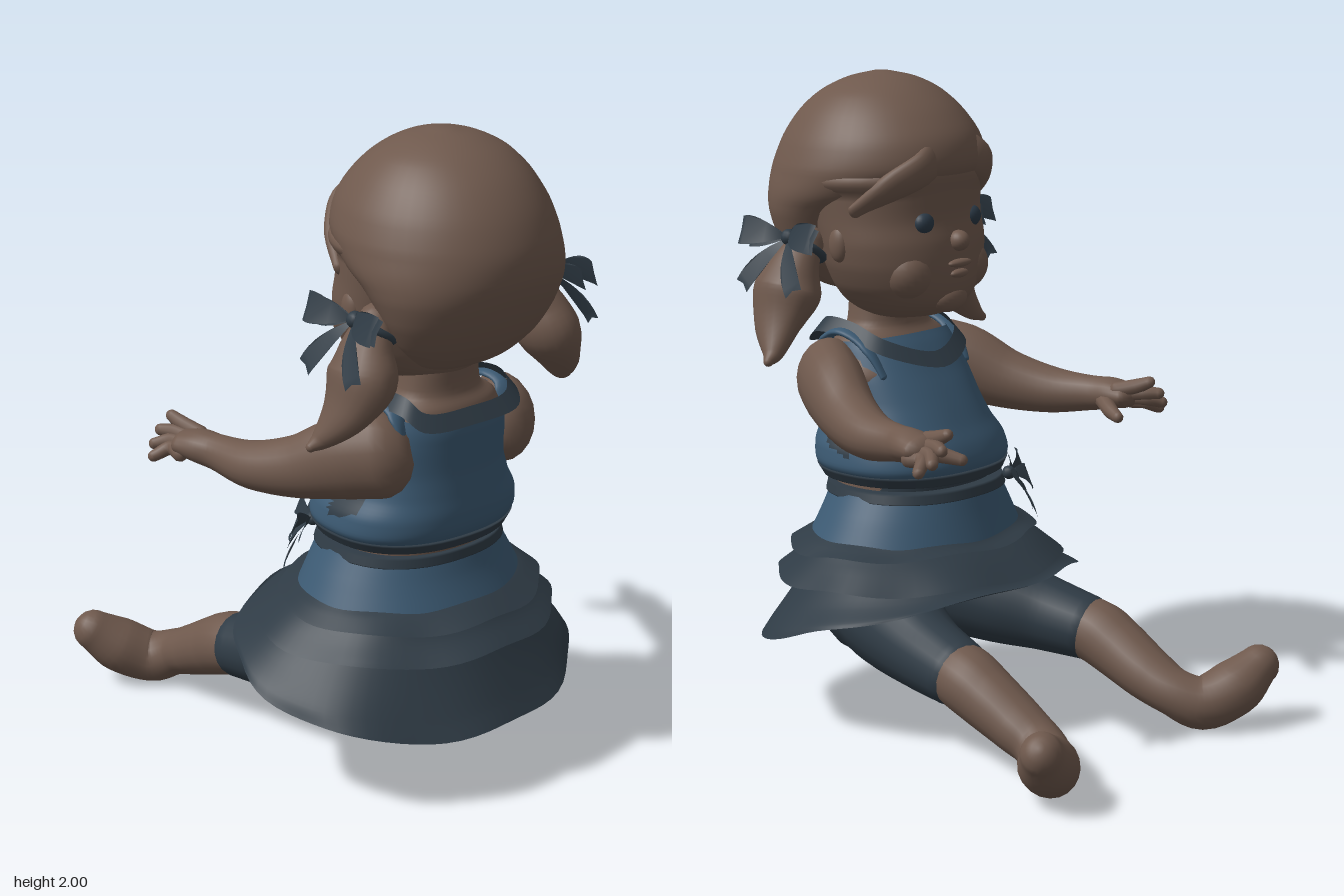
import * as THREE from 'three';

const mat = (name, color, side = THREE.FrontSide) => {
  const m = new THREE.MeshStandardMaterial({ color, side });
  m.name = name;
  return m;
};
const V = (x, y, z) => new THREE.Vector3(x, y, z);

// Skin over a list of rings, optionally closed with fans at both ends
function loft(rings, capped) {
  const n = rings[0].length, pos = [], idx = [];
  rings.forEach(r => r.forEach(p => pos.push(p.x, p.y, p.z)));
  for (let i = 0; i < rings.length - 1; i++) for (let j = 0; j < n; j++) {
    const a = i * n + j, b = i * n + (j + 1) % n;
    idx.push(a, a + n, b, b, a + n, b + n);
  }
  if (capped) [0, rings.length - 1].forEach((k, end) => {
    const c = V(0, 0, 0);
    rings[k].forEach(p => c.addScaledVector(p, 1 / n));
    const ci = pos.length / 3;
    pos.push(c.x, c.y, c.z);
    for (let j = 0; j < n; j++) {
      const a = k * n + j, b = k * n + (j + 1) % n;
      idx.push(ci, end ? b : a, end ? a : b);
    }
  });
  const g = new THREE.BufferGeometry();
  g.setAttribute('position', new THREE.Float32BufferAttribute(pos, 3));
  g.setIndex(idx);
  g.computeVertexNormals();
  return g;
}

// Horizontal sections: rows of [y, lowest and highest x, half width, tilt]
function stack(rows, { power = 1, capped = true, wave = 0, steps = 5, n = 48 } = {}) {
  const A = new THREE.CatmullRomCurve3(rows.map(r => V(r[0], r[1], r[2])));
  const B = new THREE.CatmullRomCurve3(rows.map(r => V(r[3], r[4] || 0, 0)));
  const sp = v => Math.sign(v) * Math.abs(v) ** power;
  const rings = [], count = (rows.length - 1) * steps;
  for (let i = 0; i <= count; i++) {
    const t = i / count, a = A.getPoint(t), b = B.getPoint(t), ring = [];
    for (let j = 0; j < n; j++) {
      const th = j / n * Math.PI * 2, c = Math.cos(th);
      const k = 1 + wave * (1 - t) * Math.sin(th * 9);
      ring.push(V((a.y + a.z) / 2 + (a.z - a.y) / 2 * sp(c) * k,
        a.x - b.y * c + wave * (1 - t) * 0.5 * Math.cos(th * 7), b.x * sp(Math.sin(th)) * k));
    }
    rings.push(ring);
  }
  return loft(rings, capped);
}

// Limb along a path: points of [x, y, z, radius along ref, radius across]
function limb(pts, ref = V(0, 1, 0), n = 20) {
  const P = new THREE.CatmullRomCurve3(pts.map(p => V(p[0], p[1], p[2])));
  const R = new THREE.CatmullRomCurve3(pts.map(p => V(p[3], p[4] ?? p[3], 0)));
  const rings = [], count = (pts.length - 1) * 5;
  const add = (t, off, k) => {
    const d = P.getTangent(t), r = R.getPoint(t);
    const u = ref.clone().addScaledVector(d, -ref.dot(d)).normalize(), v = u.clone().cross(d);
    const c = P.getPoint(t).addScaledVector(d, off * Math.min(r.x, r.y));
    rings.push(Array.from({ length: n }, (_, j) => {
      const th = j / n * Math.PI * 2;
      return c.clone().addScaledVector(u, Math.cos(th) * r.x * k).addScaledVector(v, Math.sin(th) * r.y * k);
    }));
  };
  const ends = [0.2, 0.5, 0.9, 1.25];
  ends.slice().reverse().forEach(a => add(0, -Math.sin(a), Math.cos(a)));
  for (let i = 0; i <= count; i++) add(i / count, 0, 1);
  ends.forEach(a => add(1, Math.sin(a), Math.cos(a)));
  return loft(rings, true);
}

// Give triangles whose centre passes the test the second material
function paint(geo, test) {
  const p = geo.attributes.position, idx = geo.index.array, parts = [[], []];
  for (let i = 0; i < idx.length; i += 3) {
    const tri = [idx[i], idx[i + 1], idx[i + 2]], c = V(0, 0, 0);
    tri.forEach(k => c.addScaledVector(V(p.getX(k), p.getY(k), p.getZ(k)), 1 / 3));
    parts[test(c) ? 1 : 0].push(...tri);
  }
  geo.setIndex([...parts[0], ...parts[1]]);
  geo.addGroup(0, parts[0].length, 0);
  geo.addGroup(parts[0].length, parts[1].length, 1);
  return geo;
}

export function createModel() {
  const skin = mat('brown skin and hair', 0x6f594d);
  const blue = mat('blue cloth', 0x3c5a73, THREE.DoubleSide);
  const dark = mat('dark slate cloth', 0x2f3b45, THREE.DoubleSide);
  const eyeMat = mat('dark blue eyes', 0x2b3946);
  const doll = new THREE.Group();
  doll.name = 'doll';
  const add = (name, geo, m, parent = doll) => {
    const mesh = new THREE.Mesh(geo, m);
    mesh.name = name;
    parent.add(mesh);
    return mesh;
  };
  const ball = (name, x, y, z, rx, ry, rz, m = skin) => {
    const b = add(name, new THREE.SphereGeometry(1, 24, 16), m);
    b.position.set(x, y, z);
    b.scale.set(rx, ry, rz);
  };

  // Head: face and hair cap
  add('face', stack([[1.25, .26, .4, .07], [1.27, .17, .45, .13], [1.31, .11, .5, .19], [1.36, .09, .52, .235],
    [1.43, .085, .54, .268], [1.5, .09, .56, .283], [1.57, .104, .6, .288], [1.65, .1, .65, .295], [1.72, .095, .65, .295],
    [1.8, .14, .65, .27], [1.9, .27, .6, .18]]), skin);
  add('hair', stack([[1.32, .46, .52, .08], [1.35, .44, .58, .16], [1.42, .4, .65, .24], [1.5, .35, .7, .29],
    [1.58, .28, .735, .32], [1.65, .16, .75, .333], [1.72, .085, .745, .327], [1.8, .09, .715, .3],
    [1.88, .145, .66, .25], [1.94, .215, .59, .19], [1.98, .29, .51, .11], [2, .37, .43, .025]]), skin);
  // Fringe locks swept across the forehead
  [[.06, .2], [-.02, -.2]].forEach(([z0, z1]) => add('fringe', limb([[.16, 1.81, z0, .025, .05],
    [.12, 1.74, (z0 + z1) / 2, .028, .055], [.175, 1.68, z1, .03, .05], [.27, 1.6, z1 * 1.28, .02, .035]], V(-1, 0, 0)), skin));
  ball('nose', .088, 1.505, 0, .036, .032, .032);
  ball('upperLip', .083, 1.437, 0, .018, .013, .05);
  ball('lowerLip', .086, 1.405, 0, .017, .014, .038);
  ball('chin', .13, 1.325, 0, .045, .045, .07);

  // Bow with two loops, tails and a knot, facing local +z
  const leaf = (x, y, w, bend) => {
    const s = new THREE.Shape(), l = Math.hypot(x, y), nx = -y / l * w, ny = x / l * w;
    s.moveTo(0, 0);
    s.quadraticCurveTo(x * .5 + nx, y * .5 + ny, x + nx * .8, y + ny * .8);
    s.lineTo(x * .95, y * .95);
    s.lineTo(x - nx * .8, y - ny * .8);
    s.quadraticCurveTo(x * .5 - nx, y * .5 - ny, 0, 0);
    const g = new THREE.ShapeGeometry(s, 8), p = g.attributes.position;
    for (let i = 0; i < p.count; i++) {
      const d = Math.hypot(p.getX(i), p.getY(i)) / l;
      p.setZ(i, bend * Math.sin(d * 2));
    }
    g.computeVertexNormals();
    return g;
  };
  const bow = (name, x, y, z, turn, size) => {
    const b = new THREE.Group();
    b.name = name;
    [-1, 1].forEach(k => {
      add('loop', leaf(k * .145, -.005, .052, .06), dark, b);
      add('innerLoop', leaf(k * .13, -.01, .045, .025), dark, b);
      add('tail', leaf(k * .105, -.165, .038, .04), dark, b);
    });
    add('knot', new THREE.SphereGeometry(.024, 12, 8), dark, b);
    b.position.set(x, y, z);
    b.rotation.set(-.35, turn, 0, 'YXZ');
    b.scale.setScalar(size);
    doll.add(b);
  };

  // Neck, bare upper body with the sash in front, and seat
  add('body', paint(stack([[.7, .06, .5, .26], [.85, .06, .51, .25], [1, .14, .52, .235], [1.12, .2, .525, .235],
    [1.19, .255, .51, .195], [1.23, .28, .49, .14], [1.32, .28, .49, .125]], { power: .9 }),
  c => c.y < .8 && c.x < .2), [skin, dark]);
  add('seat', stack([[.36, .25, .45, .1], [.4, .18, .5, .2], [.48, .12, .53, .26], [.7, .06, .5, .26]]), dark);
  ball('underbody', .33, .34, 0, .15, .1, .11);

  // Top with a dark blotch at each side, and flared neck trim
  add('top', paint(stack([[.775, .035, .52, .28], [.82, .02, .545, .312], [.87, .035, .55, .305], [.93, .07, .545, .268],
    [1, .11, .54, .246], [1.08, .16, .54, .238], [1.15, .215, .54, .22, .02], [1.185, .24, .535, .207, .02]],
  { power: .85, capped: false, n: 96 }),
  c => Math.abs(c.z) > .15 && Math.abs(c.y - .895 - (c.x - .32) * .3) < .03 && Math.abs(c.x - .32) < .06), [blue, dark]);
  const neckline = [[.535, 1.2, 0], [.52, 1.21, .155], [.47, 1.25, .185], [.36, 1.245, .185], [.25, 1.2, .16], [.185, 1.15, 0],
    [.25, 1.2, -.16], [.36, 1.245, -.185], [.47, 1.25, -.185], [.52, 1.21, -.155]].map(p => V(...p));
  const inner = new THREE.CatmullRomCurve3(neckline, true).getPoints(60).slice(0, 60);
  const outer = inner.map(p => V(.38 + (p.x - .38) * 1.2, p.y - .045, p.z * 1.17));
  add('neckTrim', loft([outer, inner], false), dark);

  // Waist bands, peplum and skirt tiers, from hem to top
  add('upperWaistBand', stack([[.767, .025, .53, .29], [.8, .015, .545, .31]], { power: .88 }), dark);
  add('lowerWaistBand', stack([[.715, .015, .52, .29], [.748, .025, .515, .28]], { power: .88 }), dark);
  const tier = (name, m, wave, rows) => add(name, stack(rows, { capped: false, wave, n: 72 }), m);
  tier('peplum', blue, 0, [[.565, -.03, .575, .375], [.66, 0, .535, .325], [.73, .02, .515, .285]]);
  tier('upperFrill', dark, .014, [[.56, -.075, .635, .425, .012], [.585, -.03, .575, .38], [.605, 0, .54, .34]]);
  tier('middleFrill', dark, .014, [[.475, -.17, .67, .485, .012], [.53, -.09, .6, .42, .01], [.58, -.02, .56, .36]]);
  tier('lowerFrill', dark, .014, [[.35, -.195, .7, .56, .125], [.375, -.185, .665, .545, .095],
    [.43, -.15, .61, .48, .05], [.52, -.08, .55, .38, .02]]);
  bow('waistBow', .06, .745, .205, -.75, .9);

  // Paired parts
  [1, -1].forEach(s => {
    const m = pts => pts.map(([x, y, z, ...r]) => [x, y, z * s, ...r]);
    ball('eye', .135, 1.565, .108 * s, .03, .034, .036, eyeMat);
    ball('cheek', .188, 1.41, .12 * s, .085, .085, .09);
    ball('ear', .33, 1.5, .272 * s, .035, .055, .025);
    add('ponytail', limb(m([[.45, 1.5, .28, .05], [.465, 1.43, .325, .085, .07], [.475, 1.35, .35, .115, .09],
      [.465, 1.26, .4, .085, .06], [.43, 1.18, .46, .035, .03], [.42, 1.16, .49, .015]]), V(1, 0, 0)), skin);
    const tie = add('hairTie', new THREE.TorusGeometry(.065, .013, 8, 24), dark);
    tie.position.set(.455, 1.475, .3 * s);
    tie.rotation.x = Math.PI / 2 - s * .6;
    bow('hairBow', .455, 1.52, .36 * s, s > 0 ? 0 : Math.PI, 1.05);
    add('strap', limb(m([[.235, 1.09, .175, .012, .03], [.29, 1.17, .195, .012, .028], [.38, 1.215, .205, .012, .028],
      [.45, 1.19, .205, .012, .028], [.475, 1.1, .19, .012, .03]]), V(.1, 1, 0), 16), blue);

    // Arm, hand and fingers
    add('arm', limb(m([[.415, 1.07, .235, .13, .1], [.33, 1.05, .295, .125, .097], [.2, 1, .365, .095, .087],
      [.06, .975, .423, .073, .076], [-.08, .98, .455, .055, .053], [-.14, .985, .47, .05, .062],
      [-.19, .985, .48, .04, .066]])), skin);
    [[-.285, 1.04, .475], [-.295, 1, .51], [-.285, .965, .54], [-.255, .94, .565]].forEach(([x, y, z], i) =>
      add('finger', limb(m([[-.18, 1.005 - i * .015, .445 + i * .025, .025], [x * .6 - .075, y * .6 + .4, z * .6 + .18, .023],
        [x, y, z, .018]]), V(0, 1, 0), 10), skin));
    add('thumb', limb(m([[-.13, .97, .44, .029], [-.2, .95, .39, .024], [-.245, .94, .367, .018]]), V(0, 1, 0), 10), skin);

    // Legging, lower leg and foot
    add('legging', limb(m([[.4, .425, .15, .165, .15], [.25, .355, .19, .165, .15], [.1, .315, .235, .145, .14],
      [-.03, .287, .275, .121, .12], [-.165, .264, .304, .104, .108]])), dark);
    add('leg', limb(m([[-.12, .275, .295, .09, .098], [-.22, .252, .312, .1, .102], [-.3, .215, .315, .094, .098],
      [-.42, .155, .315, .082, .09], [-.51, .115, .325, .074, .08], [-.585, .085, .37, .084, .082],
      [-.645, .125, .45, .088, .09], [-.685, .19, .53, .065, .062]])), skin);
  });
  return doll;
}
